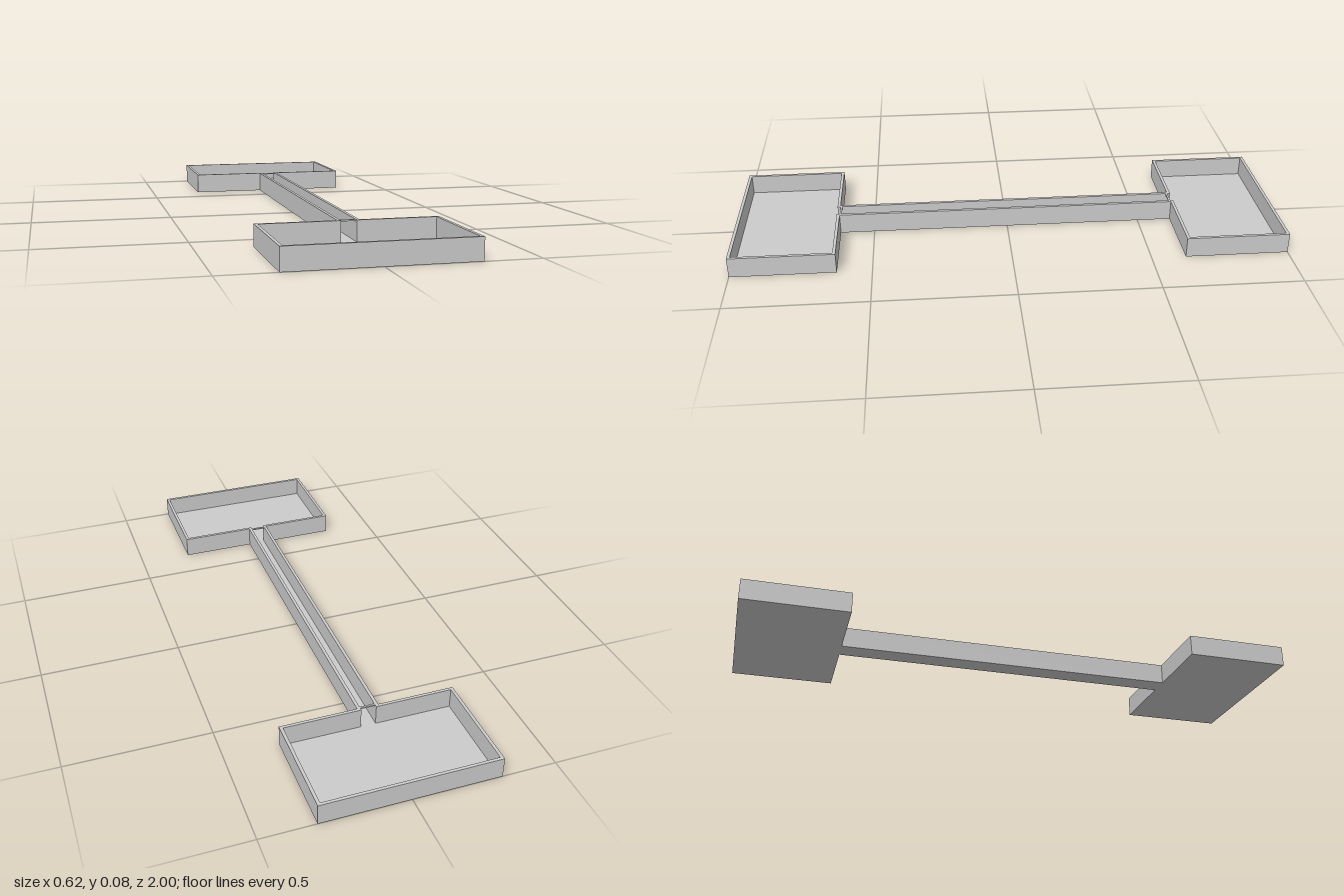
import * as THREE from 'three';

const HEIGHT = 0.075, FLOOR = 0.0025, WALL = 0.011;
const TRAY_X = 0.31, TRAY_END = 1, TRAY_START = 0.625, CHANNEL_X = 0.0375;

// Two wide trays joined by a narrow channel, as an outline moved inward by inset
function outline(inset, Type) {
  const x = TRAY_X - inset, end = TRAY_END - inset;
  const start = TRAY_START + inset, c = CHANNEL_X - inset;
  const half = [[c, -start], [c, start], [x, start], [x, end]];
  const points = [
    [x, -end], [x, -start], ...half,
    [-x, end], [-x, start], [-c, start], [-c, -start], [-x, -start], [-x, -end],
  ];
  return new Type(points.map(([px, pz]) => new THREE.Vector2(px, pz)));
}

// Extrude a plan shape upward from y = bottom
function slab(shape, bottom, depth) {
  const geometry = new THREE.ExtrudeGeometry(shape, { depth, bevelEnabled: false });
  geometry.rotateX(-Math.PI / 2);
  geometry.translate(0, bottom, 0);
  return geometry;
}

export function createModel() {
  const group = new THREE.Group();
  group.name = 'twinTrayWithChannel';
  const material = new THREE.MeshStandardMaterial({ color: 0xcccccc });
  const add = (name, geometry) => {
    const mesh = new THREE.Mesh(geometry, material);
    mesh.name = name;
    group.add(mesh);
    return mesh;
  };

  // Thin floor under both trays and the channel
  add('floor', slab(outline(0, THREE.Shape), 0, FLOOR));

  // Continuous upright wall around the rim
  const rim = outline(0, THREE.Shape);
  rim.holes.push(outline(WALL, THREE.Path));
  add('wall', slab(rim, FLOOR, HEIGHT - FLOOR));

  // Slim lip across the top of each channel mouth
  for (const side of [-1, 1]) {
    const lip = add('channelLip', new THREE.BoxGeometry(2 * (CHANNEL_X - WALL), 0.005, 0.007));
    lip.position.set(0, HEIGHT - 0.0025, side * 0.6215);
  }
  return group;
}
